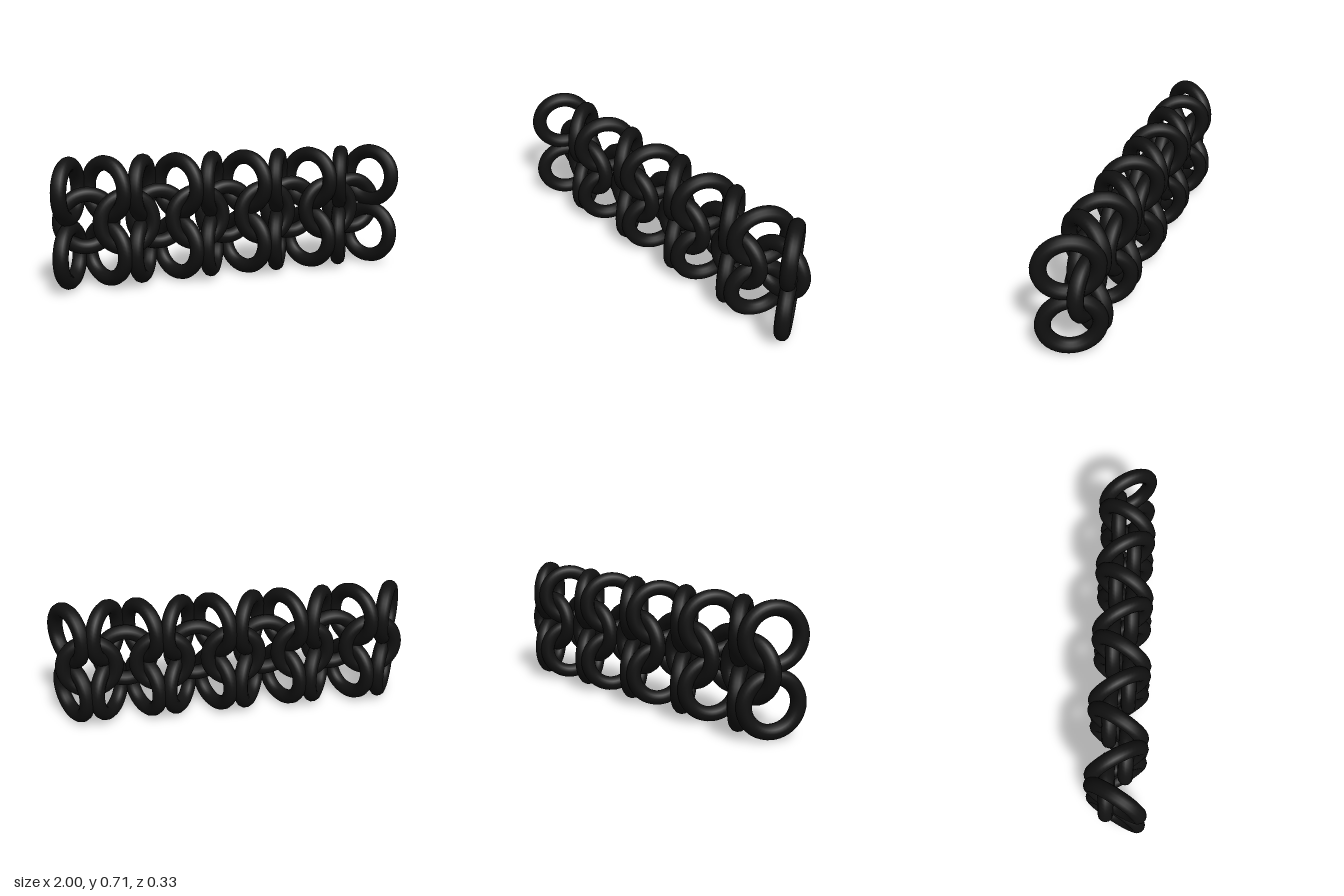
import * as THREE from 'three';

export function createModel() {
  const model = new THREE.Group();
  model.name = 'chainMailStrip';

  const material = new THREE.MeshStandardMaterial({ color: 0x111111 });
  const ringRadius = 0.1425, wireRadius = 0.041;
  const ringGeometry = new THREE.TorusGeometry(ringRadius, wireRadius, 12, 48);

  const columns = 10, spacing = 0.1973;
  const lowY = ringRadius + wireRadius, highY = 0.522;
  const midY = (lowY + highY) / 2;

  function addRing(name, x, y, z, turn) {
    const ring = new THREE.Mesh(ringGeometry, material);
    ring.name = name;
    ring.position.set(x, y, z);
    ring.rotation.y = turn;
    model.add(ring);
  }

  // Upper and lower rows: rings turned alternately left and right
  for (let i = 0; i < columns; i++) {
    const x = (i - (columns - 1) / 2) * spacing;
    const turn = (i % 2 ? -1 : 1) * Math.PI / 3;
    addRing('upperRing', x, highY, 0, turn);
    addRing('lowerRing', x, lowY, 0, turn);
  }

  // Linking row: flat rings between the columns, alternately behind and in front
  for (let i = 0; i < columns - 1; i++) {
    const x = (i - (columns - 2) / 2) * spacing;
    addRing('linkingRing', x, midY, i % 2 ? 0.048 : -0.048, 0);
  }

  return model;
}
